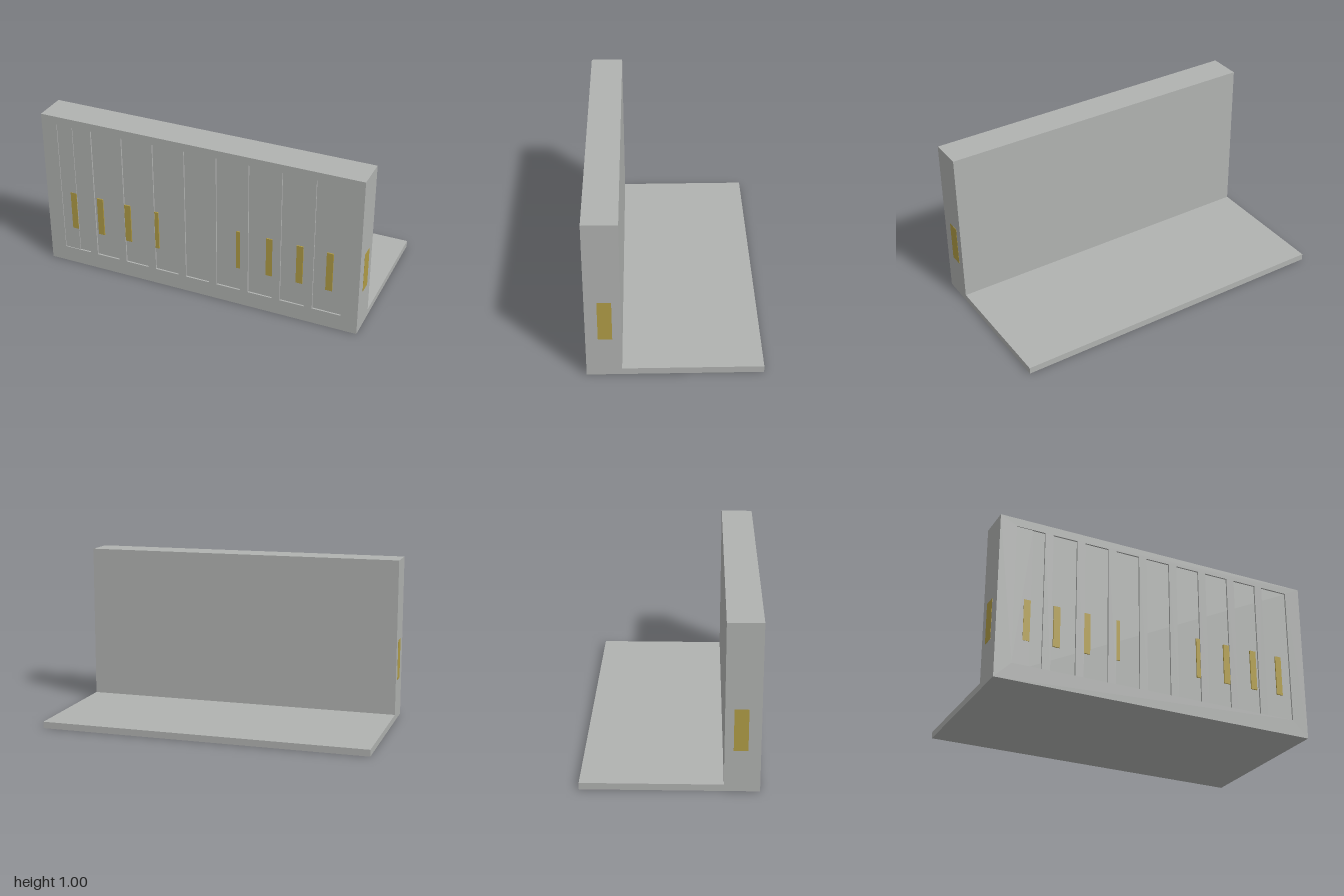
import * as THREE from 'three';

export function createModel() {
  const group = new THREE.Group();
  const concrete = new THREE.MeshStandardMaterial({ name: 'concreteGrey', color: 0xb0b2b0 });
  const yellow = new THREE.MeshStandardMaterial({ name: 'mutedYellow', color: 0xb09c46 });

  // Box given by its min and max corners
  const box = (name, material, [x0, y0, z0], [x1, y1, z1]) => {
    const mesh = new THREE.Mesh(new THREE.BoxGeometry(x1 - x0, y1 - y0, z1 - z0), material);
    mesh.position.set((x0 + x1) / 2, (y0 + y1) / 2, (z0 + z1) / 2);
    mesh.name = name;
    group.add(mesh);
  };

  const faceZ = 0.49;

  // Upright wall and the low slab behind it
  box('wall', concrete, [-1, 0, 0.3], [1, 1, faceZ]);
  box('floorSlab', concrete, [-1, 0, -0.5], [1, 0.04, 0.3]);

  // Thin front frame with nine tall openings
  const frame = new THREE.Shape();
  frame.moveTo(-1, 0).lineTo(1, 0).lineTo(1, 1).lineTo(-1, 1).closePath();
  for (let i = 0; i < 9; i++) {
    const centre = -0.8 + i * 0.2;
    const left = i === 0 ? -0.9 : centre - 0.075;
    const right = i === 8 ? 0.9 : centre + 0.075;
    const hole = new THREE.Path();
    hole.moveTo(left, 0.1).lineTo(left, 0.95).lineTo(right, 0.95).lineTo(right, 0.1).closePath();
    frame.holes.push(hole);
  }
  const frameMesh = new THREE.Mesh(
    new THREE.ExtrudeGeometry(frame, { depth: 0.5 - faceZ, bevelEnabled: false }), concrete);
  frameMesh.position.z = faceZ;
  frameMesh.name = 'frontFrame';
  group.add(frameMesh);

  // Small step inside the first opening
  box('panelStep', concrete, [-0.9, 0.1, faceZ], [-0.8, 0.95, 0.495]);

  // Yellow strips in the openings, and a marker on each end
  for (const side of [-1, 1]) {
    for (const [inner, outer] of [[0.8, 0.84], [0.62, 0.66], [0.435, 0.475], [0.25, 0.275]]) {
      const a = side * inner, b = side * outer;
      box('yellowStrip', yellow, [Math.min(a, b), 0.25, faceZ], [Math.max(a, b), 0.5, 0.497]);
    }
    const x = side * 1;
    box('endMarker', yellow, [x - 0.001, 0.25, 0.35], [x + 0.001, 0.5, 0.43]);
  }

  return group;
}
